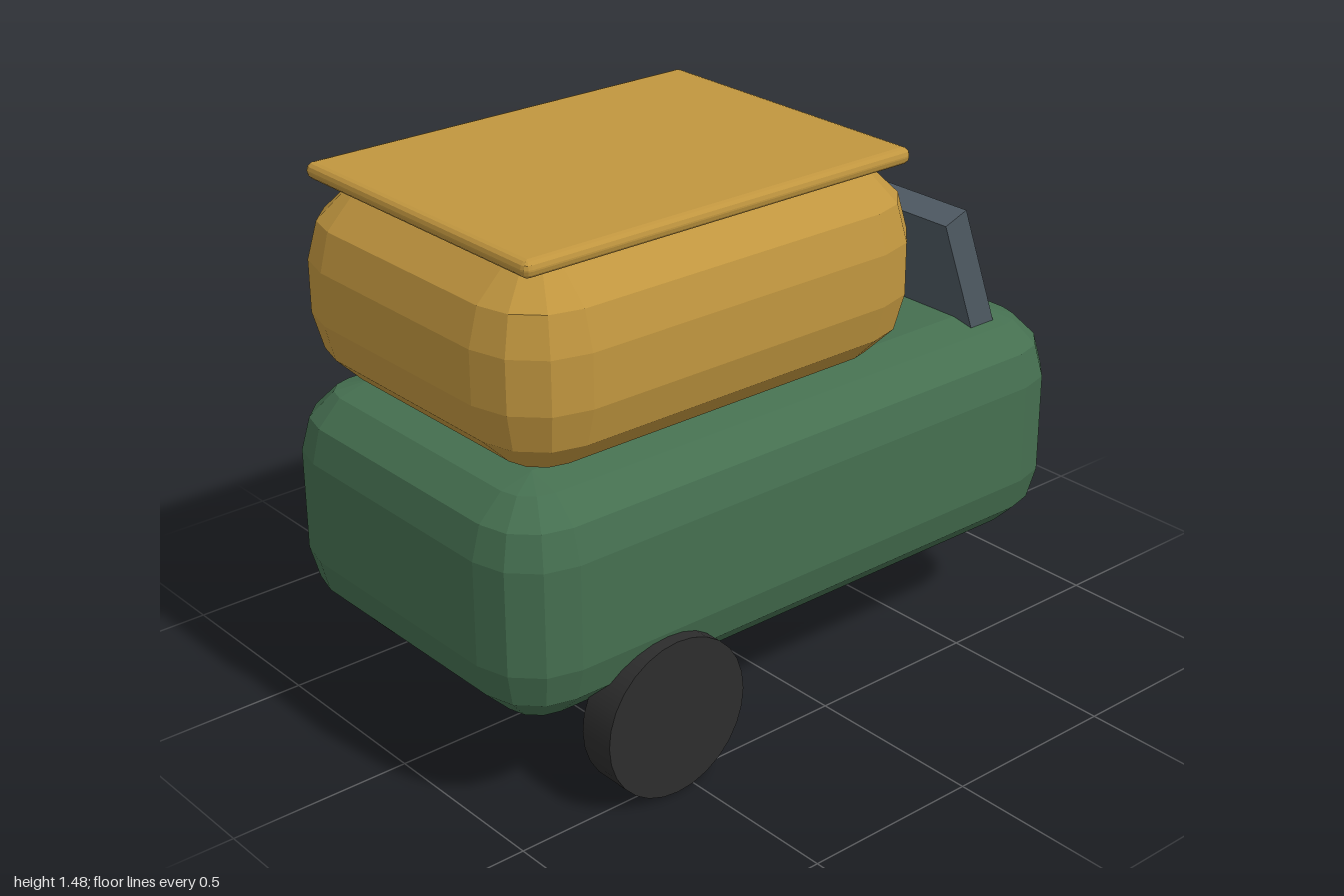
import * as THREE from 'three';

const mat = (name, color, flatShading = false) => {
  const m = new THREE.MeshStandardMaterial({ color, flatShading });
  m.name = name;
  return m;
};

// Box with rounded edges, three facets per quarter turn: each sphere vertex
// is pushed out to its own corner of the box, and the poles close the flat ends.
function roundedBox(w, h, d, r) {
  const cols = 16, rows = 9;
  const geo = new THREE.SphereGeometry(1, cols, rows);
  const pos = geo.attributes.position;
  const step = Math.PI / 6;
  for (let j = 0; j <= rows; j++) {
    for (let i = 0; i <= cols; i++) {
      const n = j * (cols + 1) + i;
      const top = j < 5;
      if (j === 0 || j === rows) {
        pos.setXYZ(n, 0, top ? h / 2 : -h / 2, 0);
        continue;
      }
      const q = Math.floor(i / 4) % 4;
      const a = q * Math.PI / 2 + (i % 4) * step;
      const phi = (top ? j - 1 : j - 2) * step;
      const sx = q === 1 || q === 2 ? 1 : -1;
      const sz = q < 2 ? 1 : -1;
      pos.setXYZ(n,
        sx * (w / 2 - r) - r * Math.cos(a) * Math.sin(phi),
        (top ? 1 : -1) * (h / 2 - r) + r * Math.cos(phi),
        sz * (d / 2 - r) + r * Math.sin(a) * Math.sin(phi));
    }
  }
  geo.computeVertexNormals();
  return geo;
}

export function createModel() {
  const group = new THREE.Group();
  const green = mat('body green', 0x456f50, true);
  const ochre = mat('canopy ochre', 0xc1963f, true);
  const slate = mat('windscreen slate', 0x4f5a63);
  const rubber = mat('tyre black', 0x2d2d2d);
  const cream = mat('lamp cream', 0xdccaa4);

  const add = (name, geo, material, x, y, z = 0) => {
    const mesh = new THREE.Mesh(geo, material);
    mesh.name = name;
    mesh.position.set(x, y, z);
    group.add(mesh);
    return mesh;
  };

  // Rounded shells
  add('body', roundedBox(1.885, 0.64, 1.04, 0.18), green, -0.0575, 0.583);
  add('canopy', roundedBox(1.325, 0.54, 1.012, 0.2), ochre, -0.2975, 1.17);
  add('roofPlate', roundedBox(1.205, 0.044, 0.9, 0.02), ochre, -0.2975, 1.453);

  // Windscreen leaning back
  const screen = add('windscreen', new THREE.BoxGeometry(0.08, 0.4, 0.8), slate, 0.596, 1.03);
  screen.rotation.z = THREE.MathUtils.degToRad(20);

  // Headlamp on the nose
  const lamp = add('headlamp', new THREE.CylinderGeometry(0.075, 0.075, 0.085, 32), cream, 0.8825, 0.743);
  lamp.rotation.z = -Math.PI / 2;

  // One front wheel, two rear wheels
  const wheel = (name, r, width, x, z) => {
    const geo = new THREE.CylinderGeometry(r, r, width, 28);
    geo.rotateX(Math.PI / 2);
    add(name, geo, rubber, x, r, z);
  };
  wheel('frontWheel', 0.207, 0.09, 0.79, 0);
  for (const side of [1, -1]) {
    wheel(side > 0 ? 'rearWheelNear' : 'rearWheelFar', 0.216, 0.104, -0.555, side * 0.5);
  }
  return group;
}
